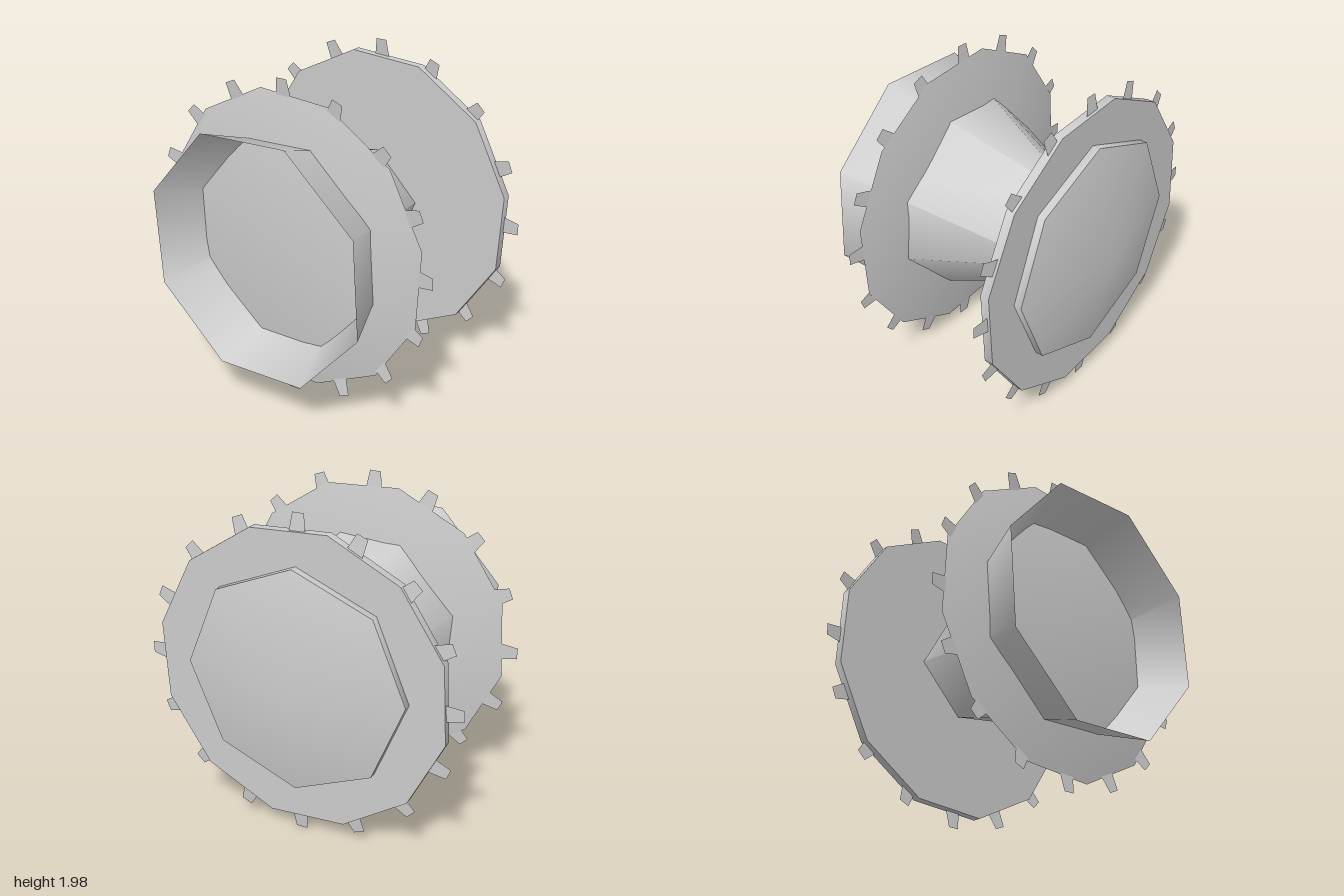
import * as THREE from 'three';
import { toCreasedNormals } from 'three/addons/utils/BufferGeometryUtils.js';

const CENTER_Y = 1.005;
const deg = THREE.MathUtils.degToRad;

// Solid of revolution around the x axis; profile is [radius, x] from low x to high x,
// and startDeg is the angle of the first corner, measured from +z towards +y.
function turnedGeometry(profile, sides, startDeg) {
  const points = profile.map(([r, x]) => new THREE.Vector2(r, x));
  return new THREE.LatheGeometry(points, sides, -deg(startDeg)).rotateZ(-Math.PI / 2);
}

function part(name, geometry, crease, side = THREE.FrontSide) {
  const material = new THREE.MeshStandardMaterial({ color: 0xcccccc, side });
  const mesh = new THREE.Mesh(toCreasedNormals(geometry, crease), material);
  mesh.name = name;
  return mesh;
}

// Octagonal wide end whose corners merge in pairs into a four-cornered narrow end
function bodyGeometry() {
  const geometry = turnedGeometry([[0.77, -0.745], [0.288, 0.495]], 8, 26);
  const pos = geometry.attributes.position;
  for (let i = 0; i < pos.count; i++) {
    if (pos.getX(i) < 0) continue;
    const y = pos.getY(i), z = pos.getZ(i);
    const quarter = Math.PI / 2;
    const angle = Math.round(Math.atan2(y, z) / quarter) * quarter;
    const r = Math.hypot(y, z);
    pos.setXYZ(i, pos.getX(i), r * Math.sin(angle), r * Math.cos(angle));
  }
  return geometry;
}

// Ring of thin trapezoid teeth standing on a disc rim, tips leaning towards -x
function toothRing(name, x, tipRadius, startDeg) {
  const ring = new THREE.Group();
  ring.name = name;
  const outline = new THREE.Shape([
    new THREE.Vector2(-0.055, 0.85), new THREE.Vector2(0.055, 0.85),
    new THREE.Vector2(0.035, tipRadius), new THREE.Vector2(-0.035, tipRadius),
  ]);
  const geometry = new THREE.ShapeGeometry(outline);
  geometry.rotateY(Math.PI / 2);
  geometry.translate(0, -0.92, 0).rotateZ(deg(7)).translate(0, 0.92, 0);
  const material = new THREE.MeshStandardMaterial({ color: 0xcccccc, side: THREE.DoubleSide });
  const count = 16;
  for (let i = 0; i < count; i++) {
    const tooth = new THREE.Mesh(geometry, material);
    tooth.name = 'tooth';
    tooth.rotation.x = deg(startDeg) + (i / count) * Math.PI * 2;
    ring.add(tooth);
  }
  ring.position.x = x;
  return ring;
}

export function createModel() {
  const model = new THREE.Group();
  model.name = 'toothedSpool';

  // Hollow tapering body, open at the wide end
  const body = part('body', bodyGeometry(), 1.0, THREE.DoubleSide);

  // Lens-shaped disc with a sharp rim through the wide part of the body
  const rearDisc = part('rearDisc', turnedGeometry(
    [[0, -0.455], [0.59, -0.455], [0.915, -0.396], [0.56, -0.33], [0, -0.33]], 12, 12), 0.3);

  // Flat disc at the narrow end
  const frontDisc = part('frontDisc', turnedGeometry(
    [[0, 0.492], [0.92, 0.492], [0.92, 0.547], [0, 0.547]], 12, 12), 0.6);

  // Octagonal cap rising to a shallow point
  const cap = part('cap', turnedGeometry(
    [[0.685, 0.54], [0.685, 0.595], [0, 0.742]], 8, 0), 1.0);
  cap.position.set(0, 0.008, 0.003);

  const hub = new THREE.Group();
  hub.name = 'hub';
  hub.add(body, rearDisc, frontDisc, cap);
  hub.add(toothRing('rearTeeth', -0.403, 0.98, -1.8));
  hub.add(toothRing('frontTeeth', 0.526, 0.992, -0.2));
  hub.position.set(0, CENTER_Y, -0.005);
  model.add(hub);
  return model;
}
